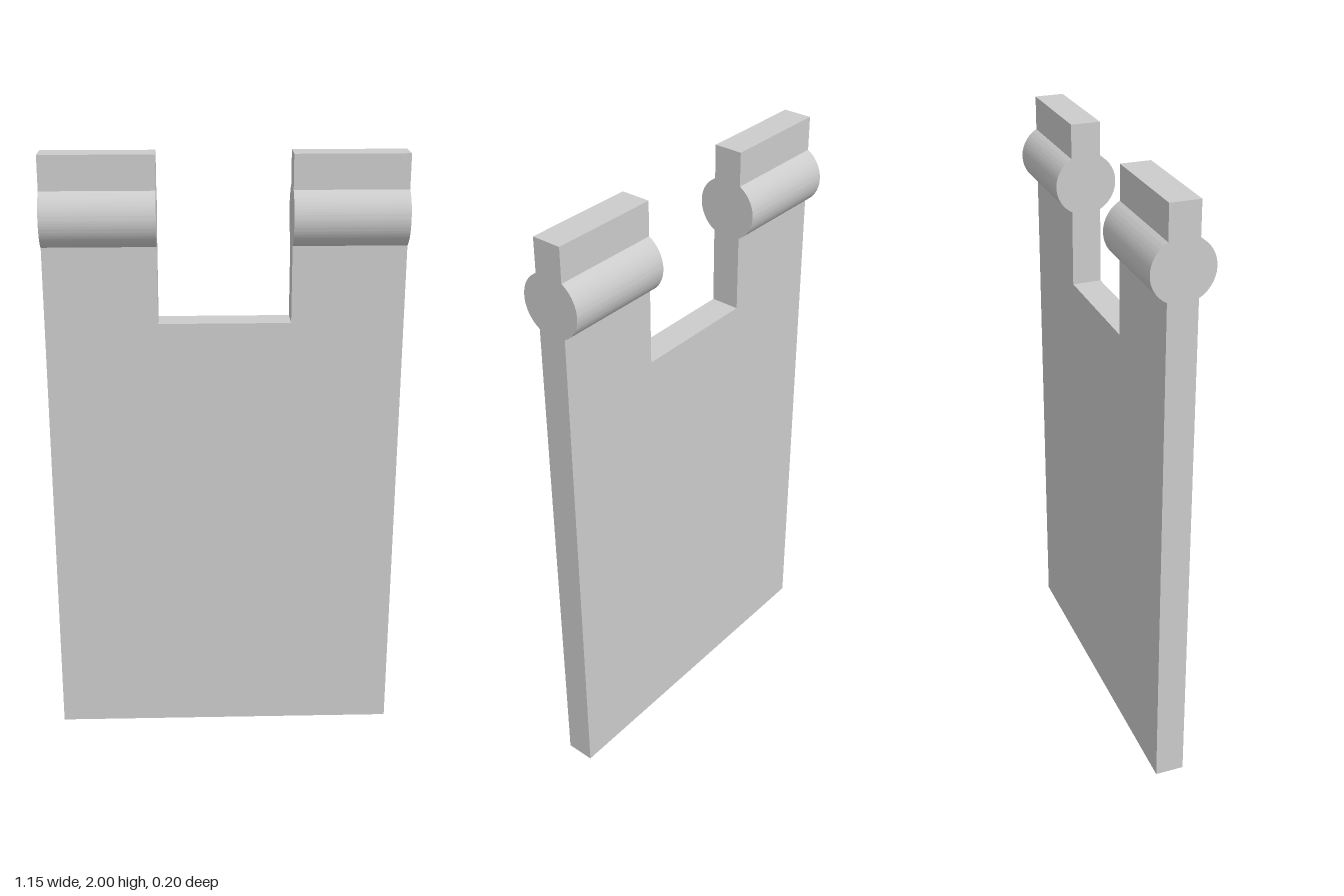
import * as THREE from 'three';
import { toCreasedNormals } from 'three/addons/utils/BufferGeometryUtils.js';

const HALF_WIDTH = 0.575, HALF_THICK = 0.048, HEIGHT = 2;
const NOTCH_HALF = 0.213, NOTCH_Y = 1.465;
const PIN_Y = 1.802, PIN_RADIUS = 0.1;

// Side profile of an ear: flat strip with a round bulge on both faces
function earGeometry() {
  const a = Math.acos(HALF_THICK / PIN_RADIUS);
  const profile = new THREE.Shape();
  profile.moveTo(-HALF_THICK, NOTCH_Y);
  profile.lineTo(HALF_THICK, NOTCH_Y);
  profile.absarc(0, PIN_Y, PIN_RADIUS, -a, a, false);
  profile.lineTo(HALF_THICK, HEIGHT);
  profile.lineTo(-HALF_THICK, HEIGHT);
  profile.absarc(0, PIN_Y, PIN_RADIUS, Math.PI - a, Math.PI + a, false);
  profile.closePath();
  const geometry = new THREE.ExtrudeGeometry(profile, {
    depth: HALF_WIDTH - NOTCH_HALF, bevelEnabled: false, curveSegments: 24,
  });
  geometry.rotateY(Math.PI / 2); // extrusion runs along +x
  return toCreasedNormals(geometry, Math.PI / 6);
}

export function createModel() {
  const model = new THREE.Group();
  model.name = 'notchedPlate';
  const material = new THREE.MeshStandardMaterial({ color: 0xcccccc });

  // Flat panel below the notch
  const panel = new THREE.Mesh(
    new THREE.BoxGeometry(HALF_WIDTH * 2, NOTCH_Y, HALF_THICK * 2), material);
  panel.name = 'panel';
  panel.position.y = NOTCH_Y / 2;
  model.add(panel);

  // Ears with round pins on either side of the notch
  const geometry = earGeometry();
  for (const [name, x] of [['leftEar', NOTCH_HALF], ['rightEar', -HALF_WIDTH]]) {
    const ear = new THREE.Mesh(geometry, material);
    ear.name = name;
    ear.position.x = x;
    model.add(ear);
  }
  return model;
}
